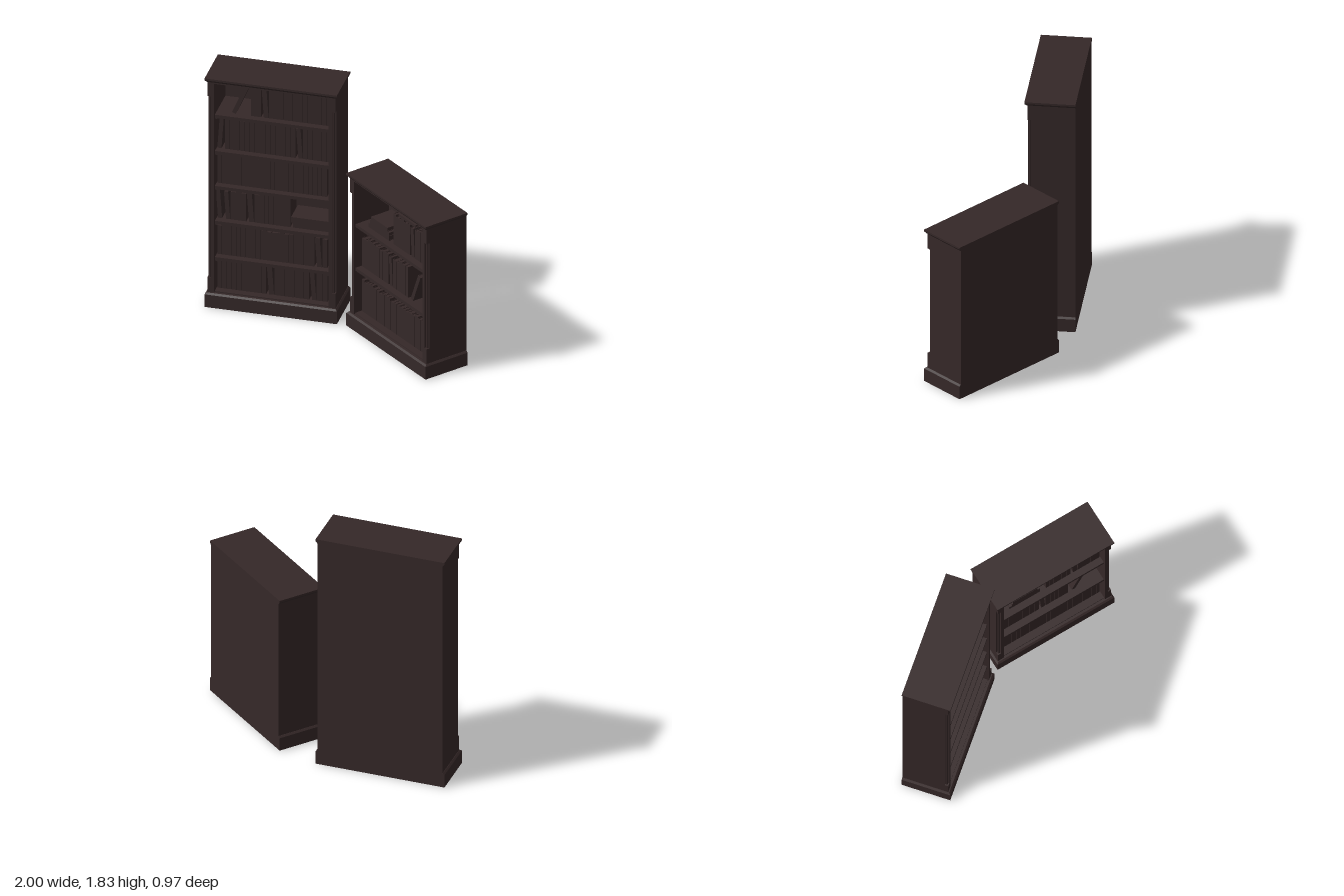
import * as THREE from 'three';

const wood = new THREE.MeshStandardMaterial({ color: 0x352828 });
wood.name = 'dark brown wood';

const W = 0.48, D = 0.18;            // half width and half depth of plinth and cornice
const BW = 0.465, BF = 0.16;         // body half width and front face
const IN = 0.415, BACK = -0.14;      // inside half width and inside back
const NOTCH = 0.025;

function seeded(seed) {
  return () => {
    seed = (seed * 16807) % 2147483647;
    return seed / 2147483647;
  };
}

function add(parent, name, geometry) {
  const mesh = new THREE.Mesh(geometry, wood);
  mesh.name = name;
  parent.add(mesh);
  return mesh;
}

// box given by its limits
function block(parent, name, x0, x1, y0, y1, z0, z1) {
  const g = new THREE.BoxGeometry(x1 - x0, y1 - y0, z1 - z0);
  g.translate((x0 + x1) / 2, (y0 + y1) / 2, (z0 + z1) / 2);
  return add(parent, name, g);
}

// sloped moulding: front and sides taper between two outlines, the back stays flush
function moulding(parent, name, y0, y1, inset0, inset1) {
  const g = new THREE.BoxGeometry(2, y1 - y0, 2).toNonIndexed();
  const p = g.attributes.position;
  for (let i = 0; i < p.count; i++) {
    const inset = p.getY(i) < 0 ? inset0 : inset1;
    p.setX(i, p.getX(i) * (W - inset));
    p.setZ(i, p.getZ(i) > 0 ? D - inset : -D);
  }
  g.translate(0, (y0 + y1) / 2, 0);
  g.computeVertexNormals();
  return add(parent, name, g);
}

// book standing on its base at the origin, spine facing +z
function book(parent, t, h, d) {
  const group = new THREE.Group();
  group.name = 'book';
  const c = 0.003, a = t / 2;
  const u = new THREE.Shape();
  u.moveTo(-a, d).lineTo(-a, 0).lineTo(a, 0).lineTo(a, d);
  u.lineTo(a - c, d).lineTo(a - c, c).lineTo(-a + c, c).lineTo(-a + c, d);
  const cover = new THREE.ExtrudeGeometry(u, { depth: h, bevelEnabled: false });
  cover.rotateX(-Math.PI / 2);
  cover.translate(0, 0, d / 2);
  add(group, 'cover', cover);
  block(group, 'pages', -a + c, a - c, 0.004, h - 0.005, -d / 2 + 0.005, d / 2 - c);
  parent.add(group);
  return group;
}

// upright row of books from x0 to x1 with small gaps and an occasional tilt
function bookRow(parent, rand, y, x0, x1, height = 0.25) {
  let x = x0;
  while (x < x1 - 0.024) {
    const t = Math.min(0.028 + rand() * 0.011, x1 - x);
    const h = height - rand() * 0.025;
    const d = 0.16 + rand() * 0.02;
    const tilted = rand() < 0.07 && x1 - x > t + 0.04;
    const lean = tilted ? 0.07 : 0;
    const b = book(parent, t, h, d);
    b.position.set(x + t / 2 + (tilted ? 0.018 : 0), y, 0.095 - d / 2);
    b.rotation.z = lean;
    x += t + 0.002 + (tilted ? 0.019 : 0);
  }
}

// one book leaning by an angle, with its lower corner on the shelf
function leaningBook(parent, x, y, angle, h = 0.24) {
  const t = 0.03;
  const b = book(parent, t, h, 0.17);
  b.position.set(x, y + Math.abs(Math.sin(angle)) * t / 2, 0.01);
  b.rotation.z = angle;
}

// books lying flat; each entry is [left, right, thickness]
function flatStack(parent, y, entries) {
  for (const [x0, x1, t] of entries) {
    const b = book(parent, t, x1 - x0, 0.18);
    b.rotation.z = -Math.PI / 2;
    b.position.set(x0, y + t / 2, 0.005);
    y += t;
  }
}

function bookcase(name, H, shelfTops) {
  const g = new THREE.Group();
  g.name = name;
  const top = H - 0.03, n0 = 0.23, n1 = H - 0.15;

  // plinth and cornice
  block(g, 'plinth', -W, W, 0, 0.1, -D, D);
  moulding(g, 'plinthBevel', 0.1, 0.112, 0, 0.012);
  moulding(g, 'corniceSlope', H - 0.032, H - 0.015, 0.014, 0);
  block(g, 'corniceSlab', -W, W, H - 0.015, H, -D, D);

  // carcass
  block(g, 'backPanel', -IN, IN, 0.1, top, -D, BACK);
  block(g, 'floorBoard', -IN, IN, 0.1, 0.12, BACK, BF - 0.01);
  block(g, 'topRail', -IN, IN, top - 0.015, top, BACK, BF);

  for (const s of [-1, 1]) {
    const side = new THREE.Group();
    side.name = s < 0 ? 'rightSide' : 'leftSide';
    const span = (part, a, b, y0, y1, z0, z1) =>
      block(side, part, Math.min(s * a, s * b), Math.max(s * a, s * b), y0, y1, z0, z1);
    span('sidePanel', IN, BW, 0.1, top, -D, BF - NOTCH);
    span('frontStile', IN, BW - NOTCH, 0.1, top, BF - NOTCH, BF);
    span('lowerCornerBlock', BW - NOTCH, BW, 0.1, n0, BF - NOTCH, BF);
    span('upperCornerBlock', BW - NOTCH, BW, n1, top, BF - NOTCH, BF);
    // slim column set into the notched corner
    const column = add(side, 'cornerColumn', new THREE.CylinderGeometry(0.009, 0.009, n1 - n0, 16));
    column.position.set(s * (BW - NOTCH + 0.008), (n0 + n1) / 2, BF - NOTCH + 0.008);
    // shelf cleats
    for (const y of shelfTops) span('shelfCleat', IN - 0.015, IN, y - 0.04, y - 0.025, BACK, BF - 0.03);
    g.add(side);
  }

  for (const y of shelfTops) block(g, 'shelf', -IN, IN, y - 0.025, y, BACK, BF - 0.015);
  return g;
}

export function createModel() {
  const model = new THREE.Group();
  model.name = 'bookcases';
  const rand = seeded(4711);
  const e = IN - 0.005;

  // tall bookcase
  const tall = bookcase('tallBookcase', 1.83, [0.39, 0.68, 0.96, 1.24, 1.53]);
  for (const y of [0.12, 0.39, 0.96]) bookRow(tall, rand, y, -e, e);
  leaningBook(tall, -0.39, 0.68, 0.07);
  bookRow(tall, rand, 0.68, -0.365, 0.12, 0.24);
  flatStack(tall, 0.68, [[0.14, 0.4, 0.04], [0.125, 0.41, 0.042]]);
  leaningBook(tall, -0.395, 1.24, -0.07);
  bookRow(tall, rand, 1.24, -0.355, e, 0.26);
  leaningBook(tall, -0.29, 1.53, -0.4);
  bookRow(tall, rand, 1.53, -0.165, e);
  tall.position.set(-0.52, 0, -0.31);
  model.add(tall);

  // short bookcase, turned at an angle
  const short = bookcase('shortBookcase', 1.22, [0.48, 0.83]);
  bookRow(short, rand, 0.12, -e, e, 0.26);
  bookRow(short, rand, 0.48, -e, 0.16);
  leaningBook(short, 0.195, 0.48, -0.38);
  flatStack(short, 0.83, [[-0.33, -0.08, 0.035], [-0.31, -0.08, 0.03], [-0.3, -0.1, 0.03]]);
  bookRow(short, rand, 0.83, -0.03, e);
  flatStack(short, 1.08, [[0.03, 0.24, 0.02]]);
  short.position.set(0.512, 0, 0.035);
  short.rotation.y = -0.69;
  model.add(short);

  return model;
}
